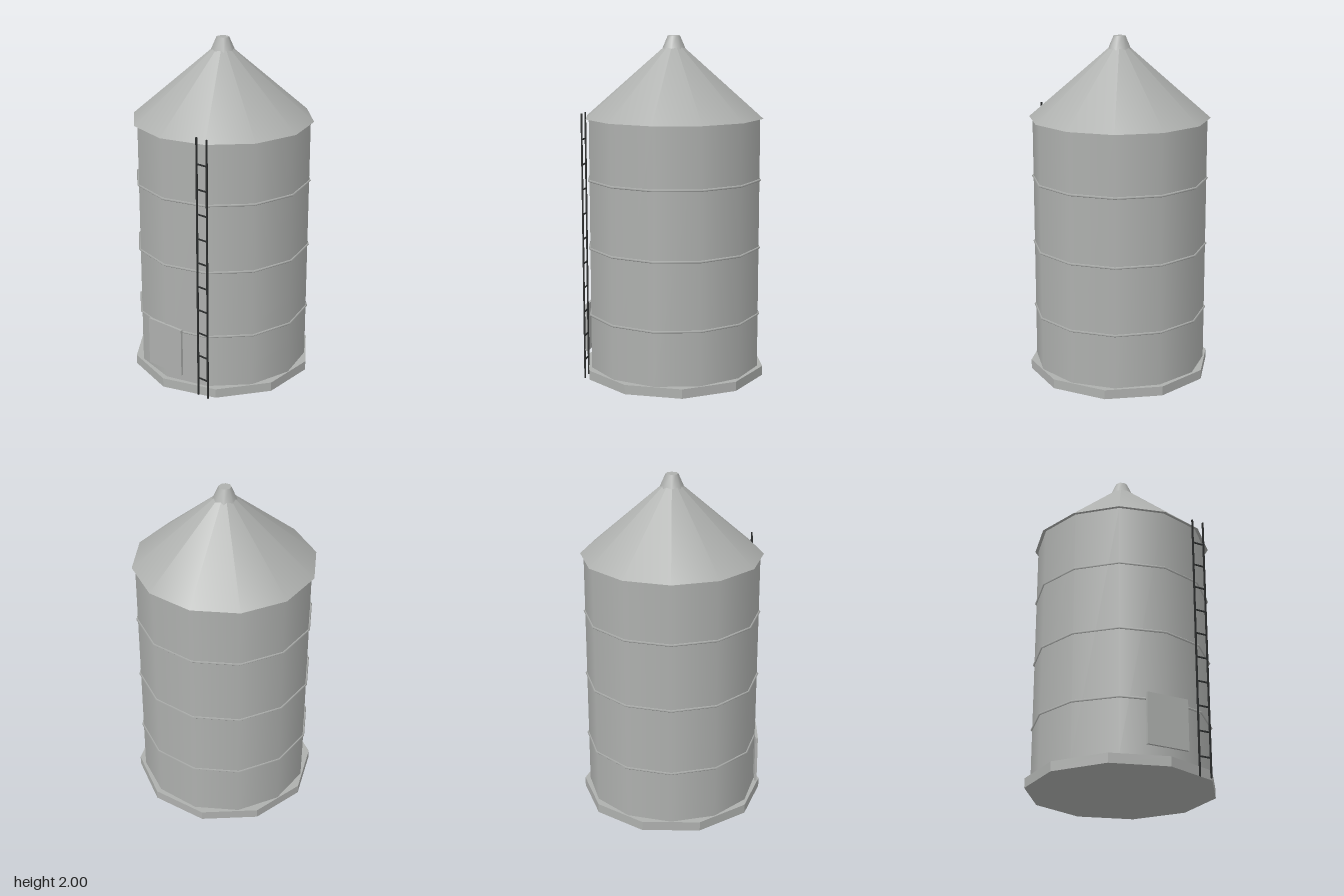
import * as THREE from 'three';

export function createModel() {
  const model = new THREE.Group();
  model.name = 'grainSilo';

  const steel = new THREE.MeshStandardMaterial({ color: 0xaeb0ae });
  steel.name = 'galvanised steel';
  const iron = new THREE.MeshStandardMaterial({ color: 0x2c2e2e });
  iron.name = 'dark iron';

  const add = (name, geometry, material, x, y, z, parent = model) => {
    const mesh = new THREE.Mesh(geometry, material);
    mesh.name = name;
    mesh.position.set(x, y, z);
    parent.add(mesh);
    return mesh;
  };

  // Ten-sided footing with flat faces
  const footing = new THREE.CylinderGeometry(0.54, 0.54, 0.055, 10).toNonIndexed();
  footing.computeVertexNormals();
  add('footing', footing, steel, 0, 0.0275, 0);

  // Twelve-sided smooth tank
  const tankBottom = 0.05, eaves = 1.53;
  add('tank', new THREE.CylinderGeometry(0.508, 0.508, eaves - tankBottom, 12), steel,
    0, (eaves + tankBottom) / 2, 0);

  // Thin hoops around the tank
  for (let i = 0; i < 3; i++) {
    const hoop = new THREE.TorusGeometry(0.511, 0.007, 4, 12).rotateX(Math.PI / 2);
    add('hoop', hoop, steel, 0, 0.375 + 0.4 * i, 0);
  }

  // Conical roof with overhanging eaves, and its vent cap
  add('roof', new THREE.ConeGeometry(0.527, 0.455, 12), steel, 0, eaves + 0.2275, 0);
  add('ventCap', new THREE.CylinderGeometry(0.036, 0.071, 0.08, 8), steel, 0, 1.96, 0);

  // Access door
  add('door', new THREE.BoxGeometry(0.252, 0.29, 0.015), steel, 0, 0.256, 0.511);

  // Ladder: two rails and ten rungs
  const ladder = new THREE.Group();
  ladder.name = 'ladder';
  ladder.position.set(0.253, 0, 0.472);
  model.add(ladder);
  for (const side of [-1, 1]) {
    add('ladderRail', new THREE.BoxGeometry(0.009, 1.567, 0.008), iron, side * 0.036, 0.7835, 0, ladder);
  }
  for (let i = 0; i < 10; i++) {
    add('ladderRung', new THREE.BoxGeometry(0.072, 0.008, 0.006), iron, 0, 0.112 + 0.145 * i, 0, ladder);
  }

  return model;
}
